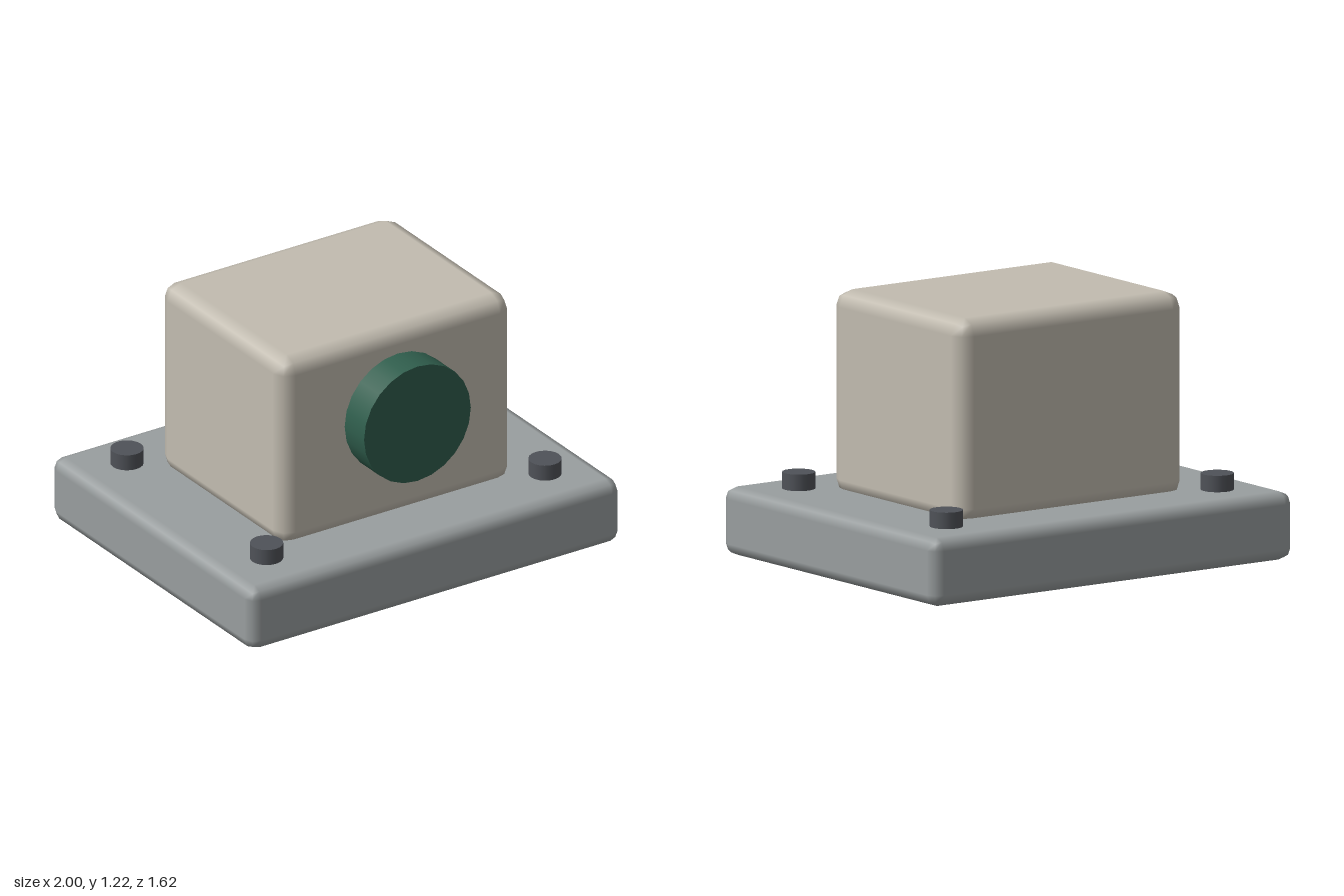
import * as THREE from 'three';
import { RoundedBoxGeometry } from 'three/addons/geometries/RoundedBoxGeometry.js';

const material = (name, color) => {
  const m = new THREE.MeshStandardMaterial({ color });
  m.name = name;
  return m;
};

export function createModel() {
  const group = new THREE.Group();
  const grey = material('plateGrey', 0x999e9f);
  const beige = material('housingBeige', 0xc2bcb0);
  const green = material('knobGreen', 0x2f5d4c);
  const dark = material('boltDarkGrey', 0x4f5258);

  const add = (name, geometry, mat, x, y, z) => {
    const mesh = new THREE.Mesh(geometry, mat);
    mesh.name = name;
    mesh.position.set(x, y, z);
    group.add(mesh);
    return mesh;
  };

  // Mounting plate and housing, each with two-facet rounded edges
  add('basePlate', new RoundedBoxGeometry(2, 0.3125, 1.625, 1, 0.055), grey, 0, 0.15625, 0);
  add('housing', new RoundedBoxGeometry(1.25, 0.9375, 1, 1, 0.075), beige, 0, 0.75, 0);

  // Round knob on the front of the housing
  const knob = add('frontKnob', new THREE.CylinderGeometry(0.2875, 0.2875, 0.1875, 24), green, 0, 0.8125, 0.5625);
  knob.rotation.x = Math.PI / 2;

  // Bolt heads at the four corners of the plate
  const boltGeometry = new THREE.CylinderGeometry(0.075, 0.075, 0.1, 20);
  for (const x of [-0.75, 0.75]) {
    for (const z of [-0.5625, 0.5625]) add('cornerBolt', boltGeometry, dark, x, 0.3375, z);
  }
  return group;
}
